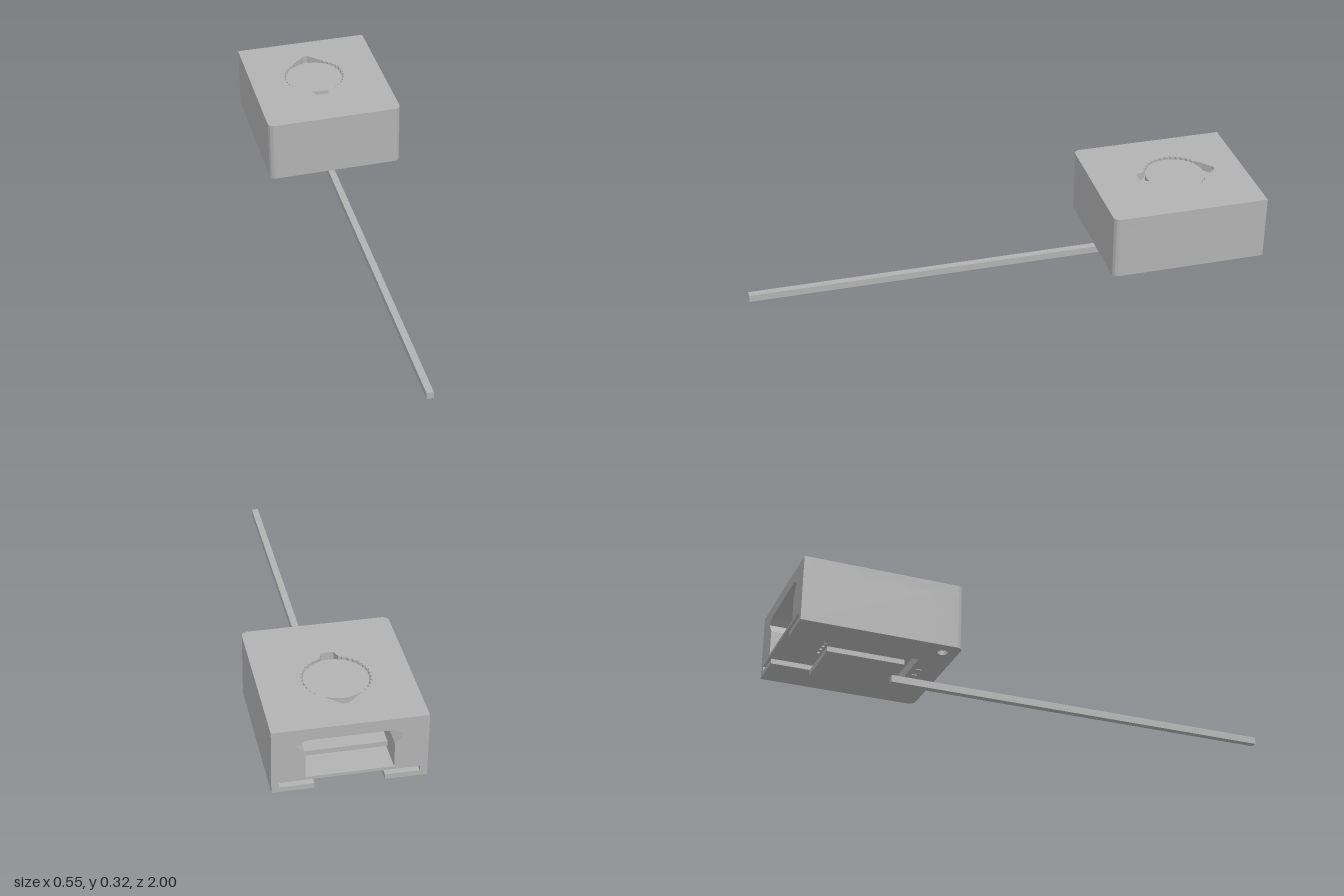
import * as THREE from 'three';
import { toCreasedNormals } from 'three/addons/utils/BufferGeometryUtils.js';

export function createModel() {
  const group = new THREE.Group();
  const grey = new THREE.MeshStandardMaterial({ color: 0xb2b2b2 });

  const add = (name, geometry) => {
    const mesh = new THREE.Mesh(geometry, grey);
    mesh.name = name;
    group.add(mesh);
    return mesh;
  };
  const box = (name, x0, x1, y0, y1, z0, z1) =>
    add(name, new THREE.BoxGeometry(x1 - x0, y1 - y0, z1 - z0)
      .translate((x0 + x1) / 2, (y0 + y1) / 2, (z0 + z1) / 2));
  const extrude = (shape, depth) =>
    new THREE.ExtrudeGeometry(shape, { depth, bevelEnabled: false, curveSegments: 10 });

  // Plan shapes are drawn as (x, -z) and raised between two heights
  const raise = (name, shape, y0, y1) =>
    add(name, toCreasedNormals(extrude(shape, y1 - y0).rotateX(-Math.PI / 2).translate(0, y0, 0), 0.5));

  const W = 0.277, FRONT = -0.38, BACK = -1, INNER = -0.5, R = 0.025;
  const footprint = (back) => {
    const s = new THREE.Shape();
    s.moveTo(-W, -back);
    s.lineTo(-W, -FRONT + R);
    s.absarc(-W + R, -FRONT + R, R, Math.PI, Math.PI * 1.5, false);
    s.absarc(W - R, -FRONT + R, R, Math.PI * 1.5, Math.PI * 2, false);
    s.lineTo(W, -back);
    s.closePath();
    return s;
  };
  const circle = (x, z, r) => new THREE.Path().absarc(x, -z, r, 0, Math.PI * 2, true);

  // Scalloped dial opening with a pointer at the back and a tab at the front
  const DX = -0.008, DZ = -0.72;
  const dialOutline = () => {
    const pts = [], n = 144;
    for (let i = 0; i < n; i++) {
      const a = (i / n) * Math.PI * 2;
      const c = Math.cos(a), s = Math.sin(a);
      if (s > 0.86) {
        if (pts.pointer) continue;
        pts.pointer = true;
        pts.push([0.062, 0.113], [0.008, 0.163], [-0.008, 0.163], [-0.062, 0.113]);
      } else if (s < -0.96) {
        if (pts.tab) continue;
        pts.tab = true;
        pts.push([-0.034, -0.123], [-0.024, -0.153], [0.024, -0.153], [0.034, -0.123]);
      } else {
        const r = i % 4 < 2 ? 0.127 : 0.121;
        pts.push([c * r, s * r]);
      }
    }
    return pts.map(([x, y]) => new THREE.Vector2(x + DX, y - DZ));
  };

  // Top panel and the pocket beneath its opening
  const top = footprint(BACK);
  top.holes.push(new THREE.Path(dialOutline()));
  raise('topPanel', top, 0.27, 0.317);
  raise('dialPocket', new THREE.Shape(dialOutline()), 0.27, 0.285);

  // Dial with its body hanging below the ceiling
  add('dial', new THREE.CylinderGeometry(0.118, 0.118, 0.108, 64).translate(DX, 0.256, DZ));

  // Front block with a screw hole in its underside
  const front = footprint(INNER);
  front.holes.push(circle(-0.215, -0.438, 0.02));
  raise('frontBlock', front, 0.06, 0.27);

  // Side walls with flared openings and grooves for the sliding plate
  const profile = [[W, 0.06], [W, 0.27], [0.155, 0.27], [0.19, 0.25], [0.157, 0.21],
    [0.157, 0.1], [0.25, 0.1], [0.25, 0.08], [0.125, 0.08], [0.125, 0.06]];
  for (const side of [1, -1]) {
    const s = new THREE.Shape(profile.map(([x, y]) => new THREE.Vector2(x * side, y)));
    add(side > 0 ? 'leftWall' : 'rightWall', extrude(s, INNER - BACK).translate(0, 0, BACK));
  }

  // Perforated inner floor
  const floor = new THREE.Shape([[-0.157, -INNER], [0.157, -INNER], [0.157, -BACK], [-0.157, -BACK]]
    .map(([x, y]) => new THREE.Vector2(x, y)));
  for (let i = 0; i < 9; i++) {
    floor.holes.push(circle(0.07, -0.55 - i * 0.03, 0.007));
    if (i < 7) floor.holes.push(circle(0.045 - i * 0.03, -0.84, 0.007));
  }
  raise('innerFloor', floor, 0.1, 0.112);

  // Shelf across the cavity
  box('innerShelf', -0.157, 0.157, 0.125, 0.145, -0.9, INNER);

  // Small clips under the front edge
  box('clip', -0.043, -0.031, 0.057, 0.062, -0.48, -0.46);
  box('clip', 0.007, 0.019, 0.057, 0.062, -0.48, -0.46);

  // Separate sliding plate and its long handle
  box('slidingPlate', -0.125, 0.109, 0.028, 0.048, -0.855, -0.555);
  box('handleRod', -0.022, 0.005, 0, 0.028, -0.57, 1);

  return group;
}
